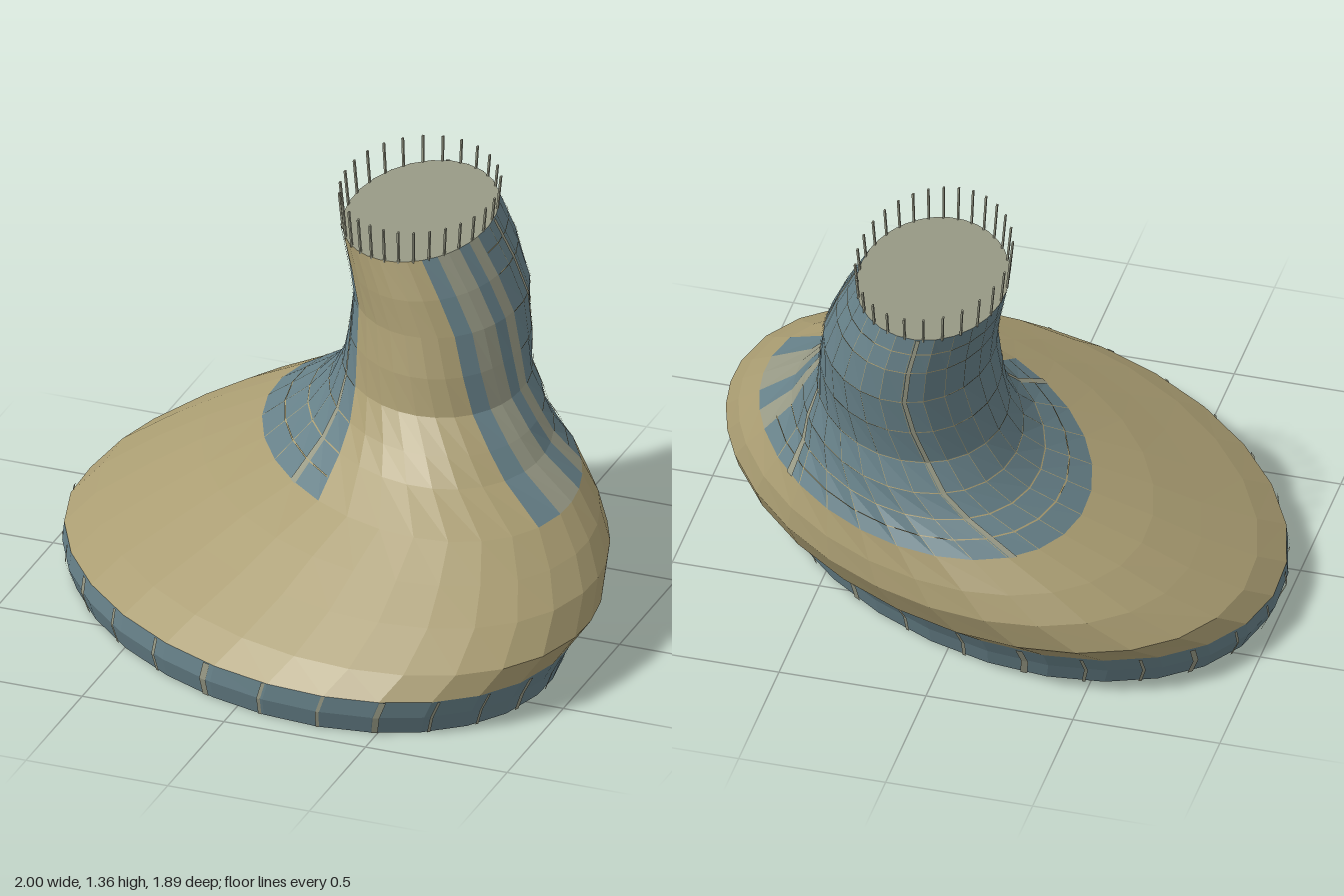
import * as THREE from 'three';

function flat(name, color) {
  const material = new THREE.MeshStandardMaterial({ color, side: THREE.DoubleSide });
  material.name = name;
  return material;
}
const tan = flat('tan shell', 0xaa9d72);
const blue = flat('blue panel', 0x668088);
const grey = flat('pale grey', 0x979985);

// Skewed elliptical cross-sections: y, xMin, xMax, zMin, zMax, skew and twist in degrees
const RINGS = [
  [0, -0.97, 0.89, -0.79, 0.92, 20, 0],
  [0.065, -1, 0.915, -0.815, 0.94, 20, 0],
  [0.125, -1, 0.945, -0.845, 0.94, 20, 0],
  [0.2, -0.925, 0.997, -0.925, 0.86, 21, 0],
  [0.3, -0.755, 0.975, -0.945, 0.695, 21, 0],
  [0.385, -0.6, 0.91, -0.915, 0.55, 21, 0],
  [0.475, -0.4, 0.82, -0.87, 0.4, 22, 0],
  [0.575, -0.235, 0.68, -0.805, 0.235, 20, 7],
  [0.65, -0.16, 0.625, -0.775, 0.155, 18, 13],
  [0.745, -0.11, 0.56, -0.74, 0.07, 14, 20],
  [0.87, -0.085, 0.54, -0.755, 0.045, 11, 26],
  [1, -0.07, 0.515, -0.77, 0.01, 8, 31],
  [1.12, -0.085, 0.46, -0.775, -0.01, 6, 34],
  [1.245, -0.11, 0.39, -0.76, -0.04, 4, 37],
];
const TOP = 1.245, BAND = 0.125, SKIRT = 0.475;
const rad = THREE.MathUtils.degToRad;

// Point on the surface at an angle (degrees) and height, pushed outwards by out
function point(deg, y, out = 0) {
  let i = 0;
  while (i < RINGS.length - 2 && y > RINGS[i + 1][0]) i++;
  const f = (y - RINGS[i][0]) / (RINGS[i + 1][0] - RINGS[i][0]);
  const [, x0, x1, z0, z1, skew, twist] = RINGS[i].map((v, k) => THREE.MathUtils.lerp(v, RINGS[i + 1][k], f));
  const t = rad(deg + twist * (1 + 0.2 * Math.cos(rad(deg + 50))));
  const x = (x0 + x1) / 2 + ((x1 - x0) / 2 + out) * Math.cos(t);
  const z = (z0 + z1) / 2 + ((z1 - z0) / 2 + out) * Math.sin(t + rad(skew));
  // the top rim leans slightly towards the front right
  const lean = Math.max(0, (y - 1) / (TOP - 1)) * (0.02 * (x - 0.14) - 0.03 * (z + 0.4));
  return new THREE.Vector3(x, y + lean, z);
}

function facets(name, material, points) {
  const geometry = new THREE.BufferGeometry().setFromPoints(points);
  geometry.computeVertexNormals();
  const mesh = new THREE.Mesh(geometry, material);
  mesh.name = name;
  return mesh;
}

// Faceted patch of the surface between given angles and two heights
function patch(name, material, angles, y0, y1, out = 0) {
  const ys = [y0, ...RINGS.map(r => r[0]).filter(y => y > y0 + 1e-4 && y < y1 - 1e-4), y1];
  const points = [];
  for (let a = 0; a < angles.length - 1; a++) {
    for (let j = 0; j < ys.length - 1; j++) {
      const A = point(angles[a], ys[j], out), B = point(angles[a], ys[j + 1], out);
      const C = point(angles[a + 1], ys[j + 1], out), D = point(angles[a + 1], ys[j], out);
      points.push(A, B, C, A, C, D);
    }
  }
  return facets(name, material, points);
}

function span(from, to, n) {
  return Array.from({ length: n + 1 }, (_, i) => from + (to - from) * i / n);
}

export function createModel() {
  const model = new THREE.Group();
  model.name = 'skewedTower';

  // Angular sectors of the upper body
  const sectors = [
    ['rearPanel', blue, span(106, 329, 17)],
    ['rearStripe', grey, span(329, 338, 1)],
    ['sidePanel', blue, span(338, 347.5, 1)],
    ['sideStripe', grey, span(347.5, 366, 2)],
    ['frontSidePanel', blue, span(366, 379, 1)],
    ['frontShell', tan, span(379, 466, 7)],
  ];
  const all = sectors.flatMap(([, , angles], i) => (i ? angles.slice(1) : angles));

  // Base band, skirt and upper body, open underneath
  model.add(patch('baseBand', blue, all, 0, BAND));
  model.add(patch('skirt', tan, all, BAND, SKIRT));
  for (const [name, material, angles] of sectors) model.add(patch(name, material, angles, SKIRT, TOP));

  // Pale seams on both faces of the base band, every third one wider
  const seams = new THREE.Group();
  seams.name = 'seams';
  span(95.4, 455.4, 27).slice(1).forEach((a, i) => {
    const half = i % 3 === 2 ? 0.75 : 0.4;
    for (const out of [0.003, -0.012])
      seams.add(patch('bandSeam', grey, [a - half, a + half], 0, BAND, out));
  });

  // Thin grid and three wide seams on the rear panel
  const rear = sectors[0][2];
  for (const a of rear.slice(1, -1))
    seams.add(patch('verticalSeam', tan, [a - 0.16, a + 0.16], SKIRT, TOP, 0.002));
  for (const a of [119, 222, 308])
    seams.add(patch('wideSeam', grey, [a - 1.4, a + 1.4], SKIRT, TOP, 0.004));
  for (const y of [0.525, 0.575, 0.65, 0.745, 0.87, 1, 1.12, 1.19])
    seams.add(patch('levelSeam', tan, rear, y - 0.0015, y + 0.0015, 0.003));
  model.add(seams);

  // Top lid
  const centre = new THREE.Vector3(0.14, TOP, -0.4);
  model.add(facets('topLid', grey,
    all.slice(1).flatMap((a, i) => [centre, point(a, TOP), point(all[i], TOP)])));

  // Ring of thin posts around the lid, splayed slightly outwards
  const posts = new THREE.Group();
  posts.name = 'rimPosts';
  for (const a of span(0, 360, 28).slice(1)) {
    const foot = point(a, TOP, -0.004);
    const tip = 1.345 - 0.06 * (foot.x - 0.14) + 0.025 * (foot.z + 0.4);
    const height = tip - foot.y + 0.006;
    const geometry = new THREE.BoxGeometry(0.006, height, 0.011).translate(0, height / 2, 0);
    const post = new THREE.Mesh(geometry, grey);
    post.name = 'rimPost';
    post.position.set(foot.x, foot.y - 0.006, foot.z);
    post.rotation.set(0.3 * (foot.z + 0.4), 0, -0.4 * (foot.x - 0.14));
    posts.add(post);
  }
  model.add(posts);
  return model;
}
